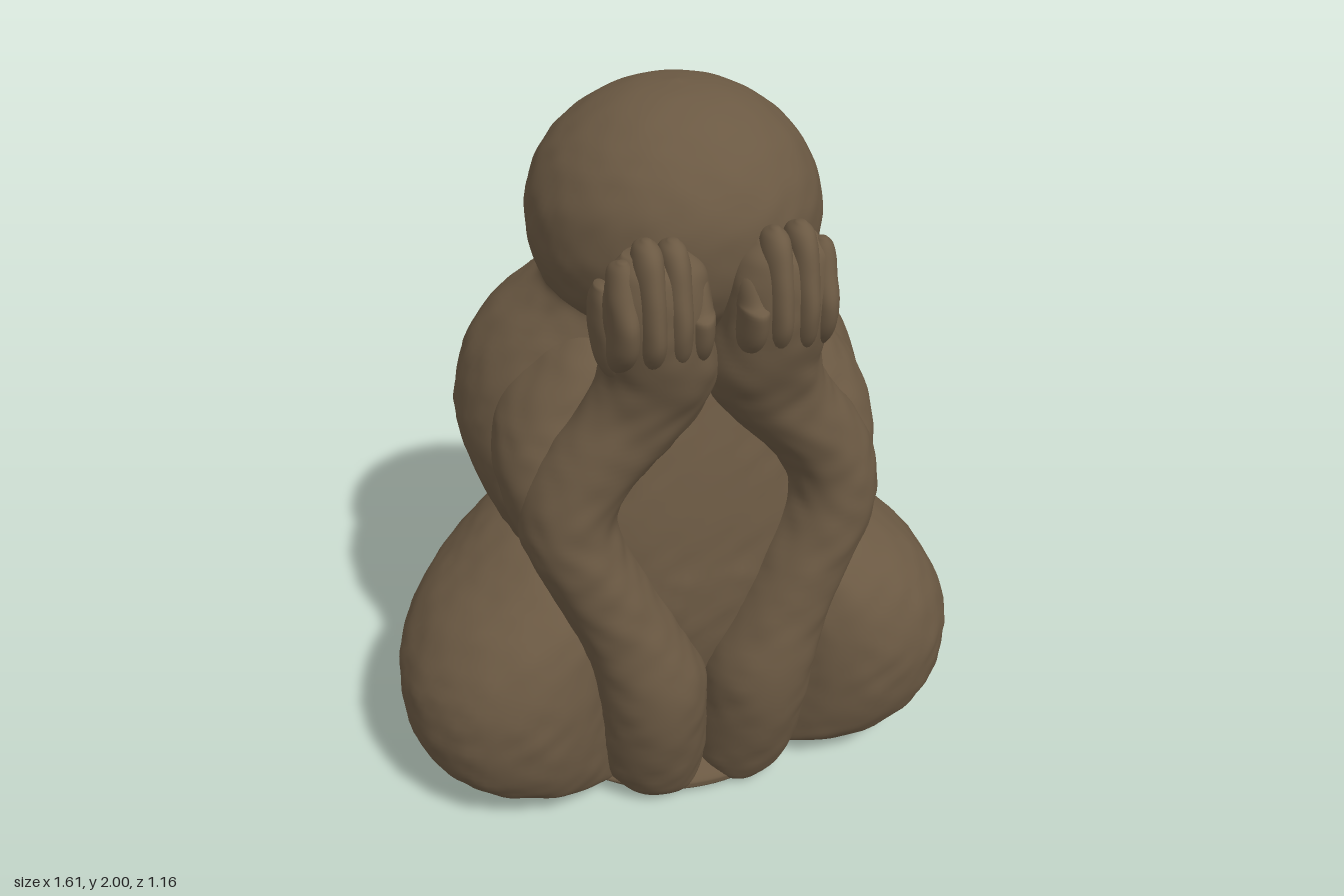
import * as THREE from 'three';

const clay = new THREE.MeshStandardMaterial({ color: 0x6b5943 });
clay.name = 'brown clay';

// Plain rounded cross-section, starting at the front and turning to +x
const oval = (t) => [Math.sin(t * Math.PI * 2), Math.cos(t * Math.PI * 2)];

// Oval with fuller front corners, for the chest and shoulders
const chest = (t) => {
  const [u, v] = oval(t);
  return v > 0 ? [Math.sign(u) * Math.abs(u) ** 0.72, v ** 0.78] : [u, v];
};

// Kidney-shaped outline of the folded legs and seat, scaled to the -1..1 range
const half = [[0, 0.37], [0.24, 0.38], [0.36, 0.455], [0.49, 0.485], [0.65, 0.44], [0.765, 0.31],
  [0.8, 0.14], [0.775, -0.02], [0.68, -0.2], [0.485, -0.4], [0.26, -0.535], [0, -0.58]];
const outline = new THREE.CatmullRomCurve3(
  [...half, ...half.slice(1, -1).reverse().map(([x, z]) => [-x, z])]
    .map(([x, z]) => new THREE.Vector3(x / 0.8, 0, (z + 0.0475) / 0.5325)), true);
const kidney = (t) => {
  const p = outline.getPoint(t);
  return [p.x, p.z];
};

// Gentle hand-modelled unevenness
const lump = (x, y, z) =>
  Math.sin(x * 41 + Math.sin(y * 27)) * Math.sin(y * 47 + Math.sin(z * 29)) * Math.sin(z * 39 + 1);

// Smooth solid through level rings; each row is [y, xMin, xMax, zBack, zFront]
function loft(name, rows, { shape = oval, side = 1, rings = 64, sides = 72, rough = 0.004 } = {}) {
  const xs = new THREE.CatmullRomCurve3(rows.map((r) => new THREE.Vector3(r[1], r[0], r[2])));
  const zs = new THREE.CatmullRomCurve3(rows.map((r) => new THREE.Vector3(r[3], r[0], r[4])));
  xs.curveType = zs.curveType = 'catmullrom';
  const pos = [];
  const index = [];
  for (let i = 0; i <= rings; i++) {
    const a = xs.getPoint(i / rings);
    const b = zs.getPoint(i / rings);
    for (let j = 0; j < sides; j++) {
      const [u, v] = shape(j / sides);
      const x = side * (a.x + a.z) / 2 + u * (a.z - a.x) / 2;
      const z = (b.x + b.z) / 2 + v * (b.z - b.x) / 2;
      const d = rough * lump(x, a.y, z);
      pos.push(x + u * d, a.y, z + v * d);
      const k = i * sides + j;
      const n = i * sides + (j + 1) % sides;
      if (i < rings) index.push(k, n, n + sides, k, n + sides, k + sides);
    }
  }
  // Close both ends
  const ends = [rows[0], rows[rows.length - 1]];
  ends.forEach((r, e) => {
    const c = pos.length / 3;
    const start = e * rings * sides;
    pos.push(side * (r[1] + r[2]) / 2, r[0], (r[3] + r[4]) / 2);
    for (let j = 0; j < sides; j++) {
      const k = start + j;
      const n = start + (j + 1) % sides;
      index.push(c, e ? k : n, e ? n : k);
    }
  });
  const g = new THREE.BufferGeometry();
  g.setAttribute('position', new THREE.Float32BufferAttribute(pos, 3));
  g.setIndex(index);
  g.computeVertexNormals();
  const mesh = new THREE.Mesh(g, clay);
  mesh.name = name;
  return mesh;
}

// Row for parts centred on x = 0
const mid = ([y, w, back, front]) => [y, -w, w, back, front];

export function createModel() {
  const model = new THREE.Group();
  model.name = 'seatedFigure';

  model.add(loft('foldedLegs', [
    [0.045, 0.38, -0.24, 0.28], [0.058, 0.55, -0.36, 0.36], [0.1, 0.695, -0.475, 0.425],
    [0.2, 0.78, -0.55, 0.47], [0.33, 0.802, -0.58, 0.487], [0.46, 0.785, -0.57, 0.478],
    [0.59, 0.71, -0.535, 0.435], [0.69, 0.6, -0.495, 0.365], [0.77, 0.49, -0.455, 0.28],
    [0.82, 0.38, -0.38, 0.16], [0.835, 0.28, -0.3, 0.08],
  ].map(mid), { shape: kidney, sides: 132 }));

  // Low mound under the seat, sloping up towards the back
  model.add(loft('base', [
    [0.008, 0.17, 0.2, 0.38], [0.02, 0.27, 0.06, 0.42], [0.036, 0.36, -0.12, 0.43],
    [0.06, 0.42, -0.24, 0.42], [0.12, 0.4, -0.22, 0.34],
  ].map(mid), { rings: 24, rough: 0 }));

  model.add(loft('torso', [
    [0.35, 0.2, -0.2, 0.38], [0.55, 0.33, -0.32, 0.41], [0.7, 0.43, -0.41, 0.41],
    [0.78, 0.465, -0.455, 0.4], [0.9, 0.525, -0.495, 0.385], [1.06, 0.56, -0.52, 0.355],
    [1.22, 0.53, -0.5, 0.315], [1.34, 0.455, -0.45, 0.285], [1.42, 0.36, -0.375, 0.28],
    [1.47, 0.32, -0.3, 0.28], [1.53, 0.335, -0.25, 0.28], [1.59, 0.25, -0.15, 0.25],
  ].map(mid), { shape: chest, sides: 108 }));

  model.add(loft('head', [
    [1.4, 0.12, -0.02, 0.24], [1.43, 0.24, -0.13, 0.34], [1.49, 0.325, -0.23, 0.41],
    [1.57, 0.362, -0.295, 0.455], [1.66, 0.373, -0.308, 0.47], [1.76, 0.358, -0.29, 0.46],
    [1.86, 0.305, -0.225, 0.405], [1.94, 0.215, -0.125, 0.315], [1.985, 0.115, -0.02, 0.21],
    [2.0, 0.008, 0.09, 0.106],
  ].map(mid), { sides: 96, rough: 0.003 }));

  for (const side of [1, -1]) {
    const prefix = side > 0 ? 'left' : 'right';

    // Shin rising to the knee, meeting the forearm rising to the palm
    model.add(loft(prefix + 'ShinAndForearm', [
      [0.005, 0.06, 0.19, 0.22, 0.38], [0.03, -0.01, 0.25, 0.1, 0.435], [0.12, -0.02, 0.29, 0.12, 0.48],
      [0.3, -0.01, 0.305, 0.16, 0.53], [0.45, 0.005, 0.32, 0.2, 0.54], [0.6, 0.075, 0.355, 0.22, 0.52],
      [0.75, 0.15, 0.42, 0.2, 0.505], [0.88, 0.215, 0.475, 0.18, 0.495], [0.98, 0.23, 0.485, 0.16, 0.485],
      [1.08, 0.175, 0.46, 0.18, 0.48], [1.18, 0.085, 0.4, 0.22, 0.485], [1.28, 0.01, 0.325, 0.25, 0.495],
      [1.38, -0.012, 0.28, 0.25, 0.53], [1.48, 0.01, 0.285, 0.28, 0.555], [1.58, 0.02, 0.285, 0.32, 0.56],
      [1.67, 0.04, 0.27, 0.36, 0.54], [1.72, 0.09, 0.235, 0.4, 0.5],
    ], { side, rings: 96 }));

    model.add(loft(prefix + 'UpperArm', [
      [0.76, 0.33, 0.4, 0.2, 0.32], [0.82, 0.29, 0.455, 0.12, 0.39], [0.94, 0.27, 0.495, 0.04, 0.43],
      [1.08, 0.23, 0.515, -0.02, 0.4], [1.22, 0.18, 0.48, -0.06, 0.345], [1.34, 0.15, 0.385, -0.06, 0.3],
      [1.4, 0.18, 0.31, -0.02, 0.24], [1.42, 0.22, 0.26, 0.04, 0.14],
    ], { side }));

    // Fingers as [x, tip height, front], curling back over the brow
    [[0.068, 1.665, 0.565], [0.124, 1.755, 0.578], [0.186, 1.762, 0.58], [0.243, 1.715, 0.555]]
      .forEach(([x, tip, front], i) => {
        const r = 0.038;
        model.add(loft(prefix + 'Finger' + (i + 1), [
          [1.38, x - 0.02, x + 0.02, 0.36, front - 0.14], [1.47, x - r, x + r, 0.4, front - 0.03],
          [1.56, x - r, x + r, 0.41, front], [tip - 0.08, x - r, x + r, 0.41, front - 0.025],
          [tip - 0.025, x - 0.031, x + 0.031, 0.42, front - 0.05], [tip, x - 0.01, x + 0.01, 0.465, 0.49],
        ], { side, rings: 28, sides: 28, rough: 0.002 }));
      });

    // Edge of the hand wrapping the cheek
    model.add(loft(prefix + 'HandEdge', [
      [1.34, 0.18, 0.24, 0.34, 0.44], [1.42, 0.18, 0.287, 0.31, 0.48], [1.5, 0.2, 0.302, 0.3, 0.48],
      [1.58, 0.22, 0.302, 0.32, 0.46], [1.63, 0.26, 0.29, 0.37, 0.43],
    ], { side, rings: 24, sides: 28, rough: 0.002 }));
  }
  return model;
}
